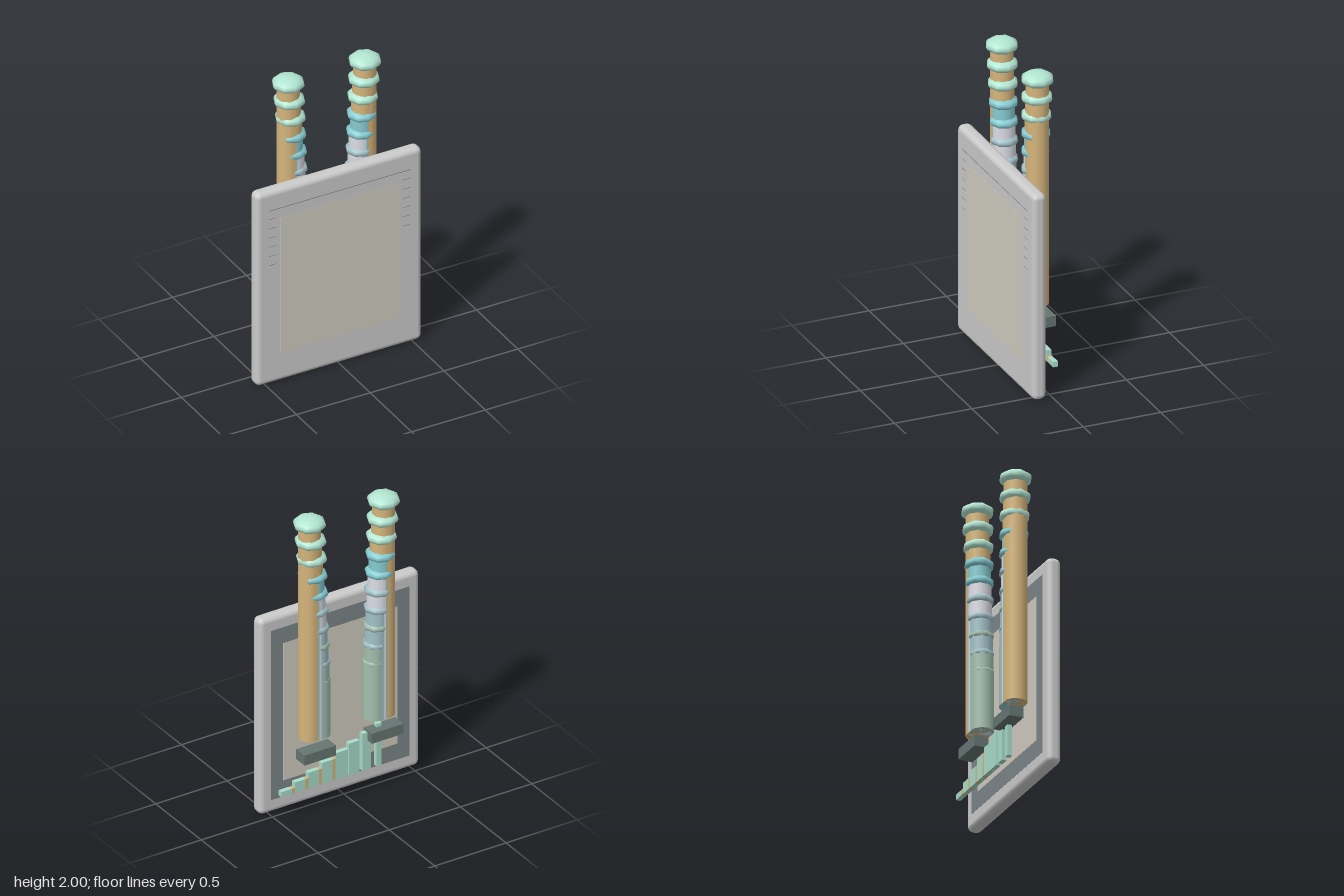
import * as THREE from 'three';
import { RoundedBoxGeometry } from 'three/addons/geometries/RoundedBoxGeometry.js';

const mat = (color) => new THREE.MeshStandardMaterial({ color });
const tan = mat(0xd6b57c), mint = mat(0xb2e6d2), blue = mat(0x86ccd2), white = mat(0xdcdde6);
const greyBlue = mat(0xa3c3c9), sage = mat(0xa3bfae), dark = mat(0x667672);
const grey = mat(0xcccccc), beige = mat(0xd0ccc0), slate = mat(0x7c868a), barMint = mat(0xa8dccb);

function add(parent, name, geometry, material, x, y, z) {
  const mesh = new THREE.Mesh(geometry, material);
  mesh.name = name;
  mesh.position.set(x, y, z);
  parent.add(mesh);
  return mesh;
}

const box = (w, h, d) => new THREE.BoxGeometry(w, h, d);

// Ten overlapping rods, each shorter and shifted inward, each capped by a flattened bead
function makeColumn(side) {
  const group = new THREE.Group();
  group.name = side > 0 ? 'leftColumn' : 'rightColumn';
  const rodColors = [tan, tan, tan, blue, white, white, greyBlue, greyBlue, sage, sage];
  const beadColors = [mint, mint, mint, blue, blue, greyBlue, greyBlue, sage, greyBlue, sage];
  const bottom = 0.49;
  for (let i = 0; i < 10; i++) {
    const top = 1.952 - i * 0.12;
    const x = side * (0.26 - i * 0.0075);
    const radius = 0.101 - i * 0.003;
    add(group, 'rod', new THREE.CylinderGeometry(0.07, 0.07, top - bottom, 16),
      rodColors[i], x, (top + bottom) / 2, -0.03);
    const bead = add(group, 'bead', new THREE.SphereGeometry(radius, 8, 8), beadColors[i], x, top, -0.03);
    bead.scale.y = 0.475;
  }
  return group;
}

// Row of bars rising in steps from a common base, with thin tan dividers
function makeBars() {
  const group = new THREE.Group();
  group.name = 'steppedBars';
  const base = 0.16;
  const spans = [[0.405, 0.48], [0.31, 0.385], [0.215, 0.29], [0.12, 0.195],
    [0.01, 0.1], [-0.07, 0.005], [-0.15, -0.09], [-0.225, -0.19]];
  spans.forEach(([x0, x1], i) => {
    const h = 0.035 + i * 0.0365;
    add(group, 'bar', box(x1 - x0, h, 0.03), barMint, (x0 + x1) / 2, base + h / 2, -0.05);
    if (i < 4) add(group, 'divider', box(0.02, h, 0.03), tan, x0 - 0.01, base + h / 2, -0.05);
  });
  return group;
}

export function createModel() {
  const model = new THREE.Group();

  // Upright slab with softened edges
  add(model, 'slab', new RoundedBoxGeometry(1.125, 1.34, 0.09, 2, 0.035), grey, 0, 0.67, 0.085);

  // Thin inlays on the front and back faces
  add(model, 'frontInlay', box(0.8, 0.94, 0.002), beige, 0, 0.67, 0.13);
  add(model, 'backBorder', box(0.97, 1.16, 0.002), slate, 0, 0.67, 0.04);
  add(model, 'backInlay', box(0.8, 0.94, 0.004), beige, 0, 0.67, 0.039);

  // Fine engraved lines near the top of the front
  add(model, 'topLine', box(0.96, 0.004, 0.002), slate, 0, 1.21, 0.13);
  for (const side of [-1, 1]) {
    for (let i = 0; i < 6; i++) {
      add(model, 'tickLine', box(0.05, 0.003, 0.002), slate, side * 0.455, 1.15 - i * 0.064, 0.13);
    }
    model.add(makeColumn(side));
    add(model, 'footBlock', box(0.222, 0.068, 0.092), dark, side * 0.236, 0.393, -0.067);
  }

  model.add(makeBars());
  return model;
}
